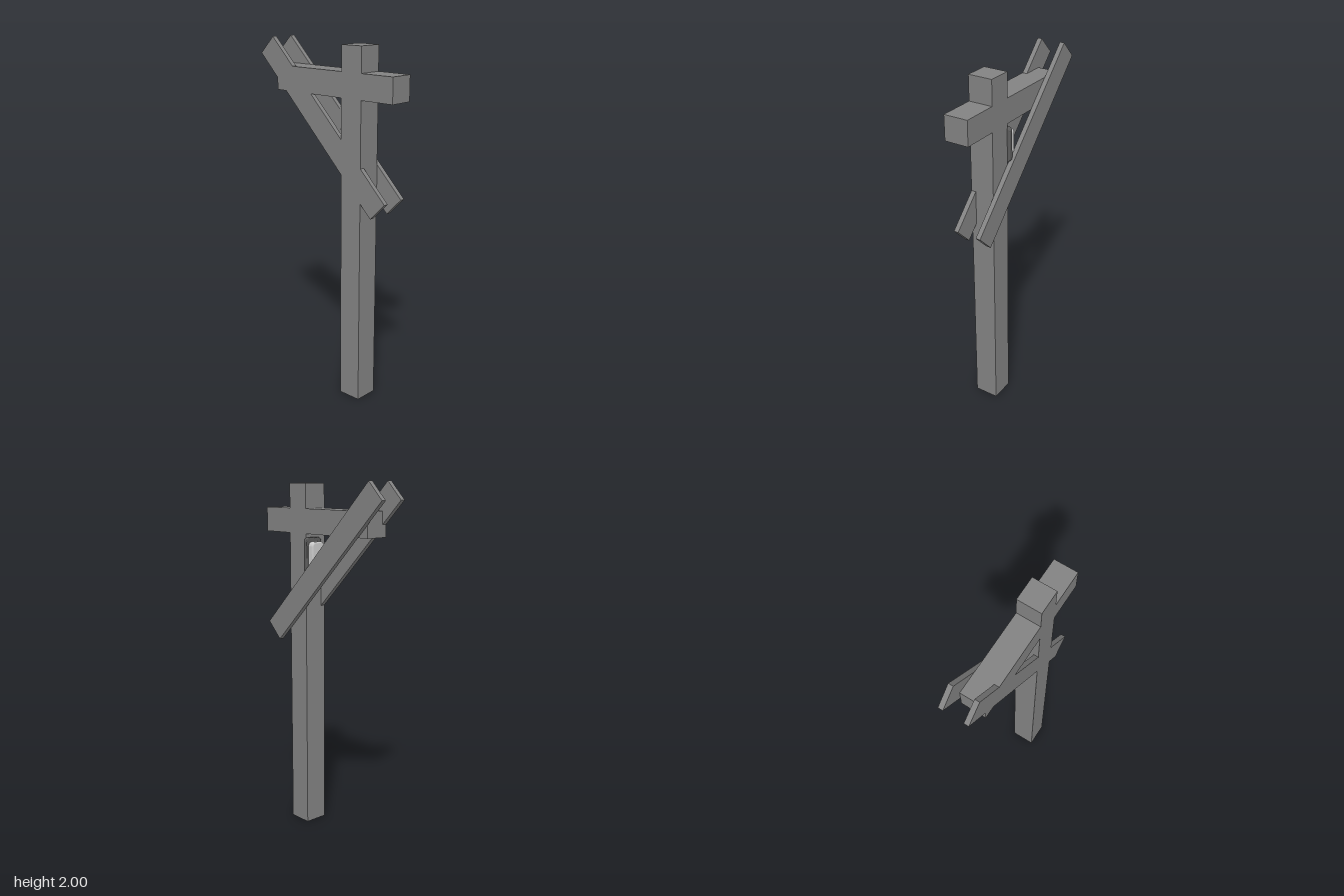
import * as THREE from 'three';

const wood = new THREE.MeshStandardMaterial({ color: 0x828282, flatShading: true });
const darkMetal = new THREE.MeshStandardMaterial({ color: 0x5c5c5c });
const paleCover = new THREE.MeshStandardMaterial({ color: 0xcccccc });

// Box given by its lower and upper corners
function beam(name, [x0, y0, z0], [x1, y1, z1]) {
  const mesh = new THREE.Mesh(new THREE.BoxGeometry(x1 - x0, y1 - y0, z1 - z0), wood);
  mesh.position.set((x0 + x1) / 2, (y0 + y1) / 2, (z0 + z1) / 2);
  mesh.name = name;
  return mesh;
}

// Upright plate with rounded corners, its back at z = 0 and bevelled towards -z
function roundedPlate(name, w, h, r, depth, bevel, material) {
  const s = new THREE.Shape();
  const a = w / 2 - bevel, b = h / 2 - bevel;
  s.absarc(a - r, b - r, r, 0, Math.PI / 2);
  s.absarc(r - a, b - r, r, Math.PI / 2, Math.PI);
  s.absarc(r - a, r - b, r, Math.PI, Math.PI * 1.5);
  s.absarc(a - r, r - b, r, Math.PI * 1.5, Math.PI * 2);
  const geometry = new THREE.ExtrudeGeometry(s, {
    depth: depth - 2 * bevel, bevelThickness: bevel, bevelSize: bevel,
    bevelSegments: 3, curveSegments: 5,
  });
  geometry.translate(0, 0, bevel - depth);
  const mesh = new THREE.Mesh(geometry, material);
  mesh.name = name;
  return mesh;
}

export function createModel() {
  const model = new THREE.Group();
  model.name = 'timberPost';

  // Upright post and the arm crossing it
  model.add(beam('post', [-0.083, 0, 0.132], [0.054, 1.985, 0.268]));
  model.add(beam('crossArm', [-0.083, 1.711, -0.347], [0.054, 1.848, 0.474]));

  // Diagonal braces: one let into the right face, one fixed on the left face
  for (const [name, x] of [['rightBrace', -0.0695], ['leftBrace', 0.0685]]) {
    const brace = new THREE.Mesh(new THREE.BoxGeometry(0.027, 0.134, 1.15), wood);
    brace.position.set(x, 1.546, -0.02);
    brace.rotation.x = Math.PI / 4;
    brace.name = name;
    model.add(brace);
  }

  // Small rounded fitting on the back of the post, under the arm
  const fitting = new THREE.Group();
  fitting.name = 'backFitting';
  fitting.position.set(0.014, 1.593, 0.135);
  const base = roundedPlate('fittingBase', 0.112, 0.196, 0.02, 0.026, 0.005, darkMetal);
  const cover = roundedPlate('fittingCover', 0.088, 0.152, 0.018, 0.04, 0.008, paleCover);
  cover.position.z = -0.024;
  fitting.add(base, cover);
  model.add(fitting);

  return model;
}
